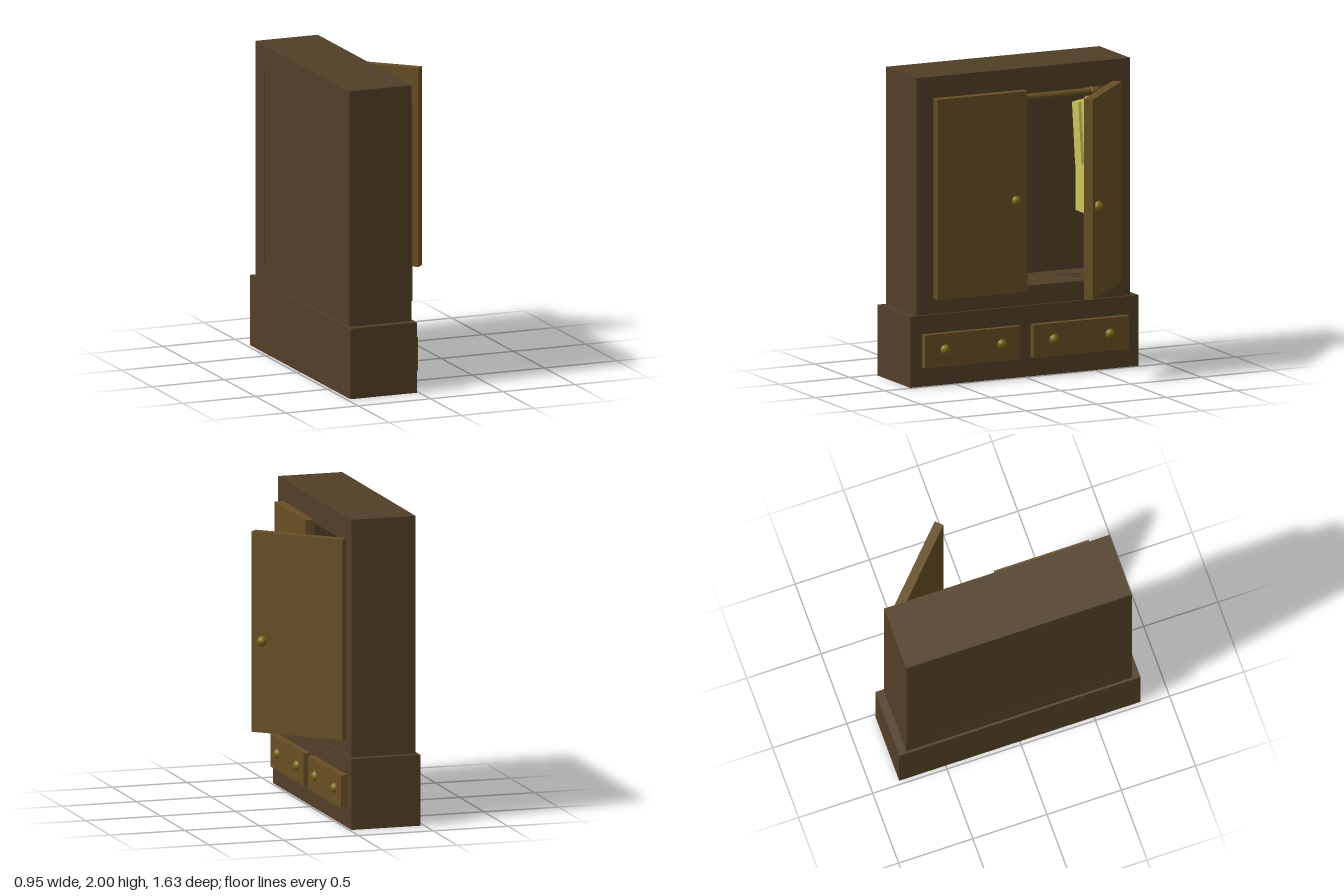
import * as THREE from 'three';

const makeMat = (name, color, extra = {}) => {
  const m = new THREE.MeshStandardMaterial({ color, ...extra });
  m.name = name;
  return m;
};

export function createModel() {
  const model = new THREE.Group();
  model.name = 'wardrobe';
  const darkWood = makeMat('dark wood', 0x523f27);
  const warmWood = makeMat('warm wood', 0x684f24);
  const brass = makeMat('brass', 0x7d6808);
  const cloth = makeMat('yellow cloth', 0xcdc45a);

  const add = (name, geo, mat, parent = model) => {
    const mesh = new THREE.Mesh(geo, mat);
    mesh.name = name;
    parent.add(mesh);
    return mesh;
  };
  // Box given by its minimum and maximum on each axis
  const box = (name, mat, [x0, x1], [y0, y1], [z0, z1], parent) => {
    const mesh = add(name, new THREE.BoxGeometry(x1 - x0, y1 - y0, z1 - z0), mat, parent);
    mesh.position.set((x0 + x1) / 2, (y0 + y1) / 2, (z0 + z1) / 2);
    return mesh;
  };
  const knob = (x, y, z, parent) =>
    add('knob', new THREE.SphereGeometry(0.034, 16, 12), brass, parent).position.set(x, y, z);

  // Plinth holding the drawers
  box('base', darkWood, [-0.475, -0.015], [0, 0.46], [-0.813, 0.813]);

  // Cabinet body: a thick frame, open on +x, with a back panel
  const frame = new THREE.Shape([
    new THREE.Vector2(-0.76, 0.46), new THREE.Vector2(0.76, 0.46),
    new THREE.Vector2(0.76, 2), new THREE.Vector2(-0.76, 2),
  ]);
  frame.holes.push(new THREE.Path([
    new THREE.Vector2(-0.62, 0.585), new THREE.Vector2(-0.62, 1.837),
    new THREE.Vector2(0.62, 1.837), new THREE.Vector2(0.62, 0.585),
  ]));
  const frameGeo = new THREE.ExtrudeGeometry(frame, { depth: 0.43, bevelEnabled: false });
  frameGeo.rotateY(Math.PI / 2);
  add('cabinetFrame', frameGeo, darkWood).position.x = -0.46;
  box('backPanel', darkWood, [-0.459, -0.41], [0.56, 1.86], [-0.64, 0.64]);

  // Drawers, two knobs each
  for (const [z0, z1, knobs] of [[0.05, 0.73, [0.585, 0.18]], [-0.725, -0.045, [-0.19, -0.59]]]) {
    box('drawerFront', warmWood, [-0.05, 0.028], [0.125, 0.34], [z0, z1]);
    for (const z of knobs) knob(0.022, 0.235, z);
  }

  // Doors: the left leaf is shut, the other swings open
  const door = (name, side) => {
    const g = new THREE.Group();
    g.name = name;
    box('doorPanel', warmWood, [-0.03, 0.03], [-0.65, 0.65], [-0.32, 0.32], g);
    knob(side > 0 ? 0.022 : 0.04, -0.055, -side * 0.241, g);
    model.add(g);
    return g;
  };
  door('closedDoor', 1).position.set(0, 1.21, 0.32);
  const open = door('openDoor', -1);
  open.position.set(0.2175, 1.21, -0.4425);
  open.rotation.y = THREE.MathUtils.degToRad(46.5);

  // Hanging rail
  const rail = add('rail', new THREE.CylinderGeometry(0.023, 0.023, 1.26, 20), warmWood);
  rail.rotation.x = Math.PI / 2;
  rail.position.set(-0.215, 1.767, 0);

  // Shirt on the rail
  const shirt = new THREE.Group();
  shirt.name = 'shirt';
  shirt.position.set(-0.215, 0, -0.575);
  model.add(shirt);
  const torso = new THREE.Shape([
    [-0.165, 0.97], [0.165, 0.97], [0.165, 1.68], [0.06, 1.71], [-0.06, 1.71], [-0.165, 1.68],
  ].map(([x, y]) => new THREE.Vector2(x, y)));
  const torsoGeo = new THREE.ExtrudeGeometry(torso, { depth: 0.05, bevelEnabled: false });
  add('shirtBody', torsoGeo, cloth, shirt).position.z = -0.025;
  for (const s of [-1, 1]) {
    const sleeve = box('sleeve', cloth, [-0.045, 0.045], [-0.2, 0.2], [-0.012, 0.012], shirt);
    sleeve.position.set(s * 0.108, 1.48, 0.034);
    sleeve.rotation.z = -s * 0.11;
  }
  const collar = add('collar', new THREE.TorusGeometry(0.045, 0.014, 10, 24), cloth, shirt);
  collar.rotation.x = Math.PI / 2;
  collar.scale.y = 0.6;
  collar.position.y = 1.712;
  const hookGeo = new THREE.TorusGeometry(0.03, 0.006, 8, 20, Math.PI * 1.4);
  add('hangerHook', hookGeo, brass, shirt).position.y = 1.767;

  // Wooden hanger fallen on the cabinet floor
  const hanger = new THREE.Shape([
    new THREE.Vector2(-0.12, 0), new THREE.Vector2(0.12, 0), new THREE.Vector2(0, 0.1),
  ]);
  hanger.holes.push(new THREE.Path([
    new THREE.Vector2(-0.07, 0.017), new THREE.Vector2(0, 0.075), new THREE.Vector2(0.07, 0.017),
  ]));
  const hangerGeo = new THREE.ExtrudeGeometry(hanger, { depth: 0.012, bevelEnabled: false });
  hangerGeo.rotateX(-Math.PI / 2);
  const fallen = add('fallenHanger', hangerGeo, darkWood);
  fallen.position.set(-0.18, 0.585, -0.42);
  fallen.rotation.y = 0.5;

  return model;
}
